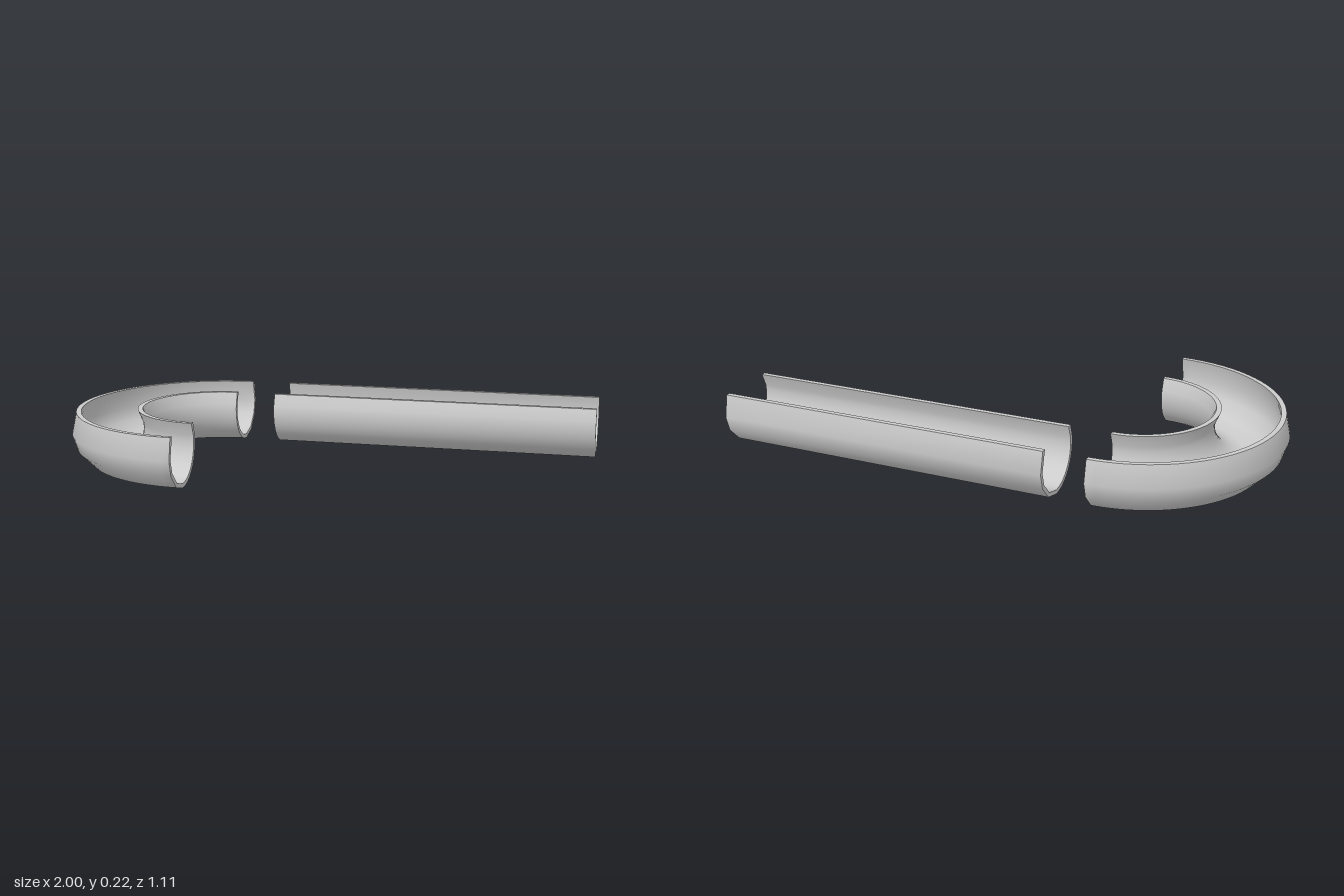
import * as THREE from 'three';
import { toCreasedNormals } from 'three/addons/utils/BufferGeometryUtils.js';

const MID = 0.41;      // distance of the channel's centre line from the model's x axis
const R_OUT = 0.1455;  // outside radius, also the height of the section's centre
const R_IN = 0.129;    // inside radius
const RIM = 0.217;     // height of the flat rims
const BEND_X = -0.445; // centre of the half-turn
const START_X = -0.287;

// Points of one wall face: broad facets on the far side, a fine arc on the near side
function arc(radius) {
  const rim = THREE.MathUtils.radToDeg(Math.asin((RIM - R_OUT) / radius));
  const angles = [rim, -5, -29, -60];
  for (let i = 0; i <= 10; i++) angles.push(-90 - i * 10);
  angles.push(-180 - rim);
  return angles.map((deg) => {
    const a = THREE.MathUtils.degToRad(deg);
    return new THREE.Vector2(MID + radius * Math.cos(a), R_OUT + radius * Math.sin(a));
  });
}

// Open gutter section swept along a depth
function channel(depth, steps) {
  const section = new THREE.Shape([...arc(R_OUT), ...arc(R_IN).reverse()]);
  return new THREE.ExtrudeGeometry(section, { depth, steps, bevelEnabled: false });
}

export function createModel() {
  const group = new THREE.Group();
  const material = new THREE.MeshStandardMaterial({ color: 0xcccccc });
  const add = (name, geometry) => {
    const mesh = new THREE.Mesh(toCreasedNormals(geometry, 0.7), material);
    mesh.name = name;
    group.add(mesh);
  };

  // Straight length running along x at the back
  const straight = channel(1 - START_X, 1);
  straight.rotateY(Math.PI / 2).translate(START_X, 0, 0);
  add('straightChannel', straight);

  // Half-turn: the depth of the sweep becomes an angle around the bend centre
  const bend = channel(1, 48);
  const p = bend.attributes.position;
  for (let i = 0; i < p.count; i++) {
    const u = p.getX(i);
    const a = Math.PI * (1 - p.getZ(i));
    p.setXYZ(i, BEND_X - u * Math.sin(a), p.getY(i), -u * Math.cos(a));
  }
  add('curvedChannel', bend);

  return group;
}
